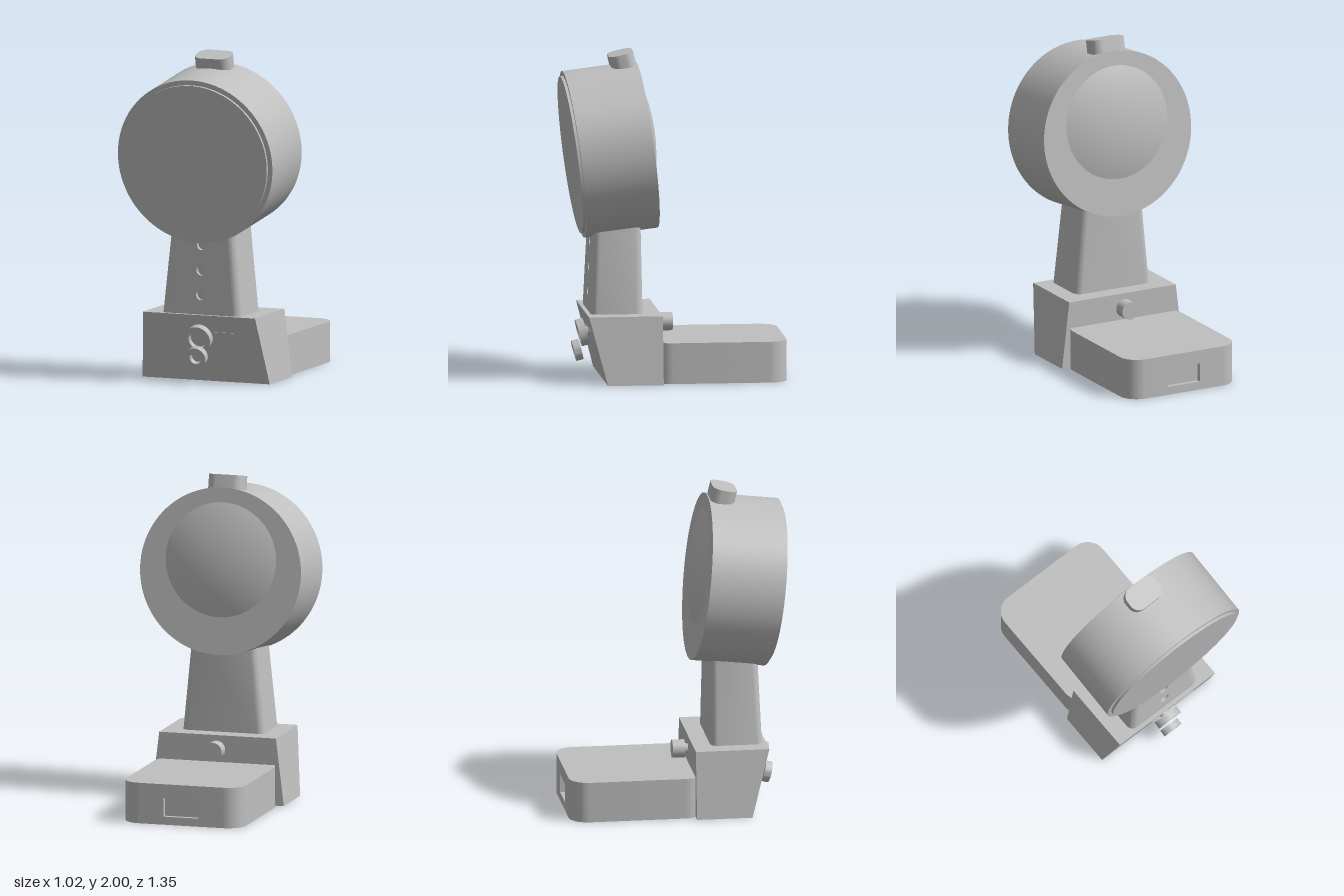
import * as THREE from 'three';
import { toCreasedNormals } from 'three/addons/utils/BufferGeometryUtils.js';

export function createModel() {
  const grey = new THREE.MeshStandardMaterial({ color: 0xbfbfbf });
  grey.name = 'grey';
  const model = new THREE.Group();
  model.name = 'roundHeadOnStand';

  const add = (name, geometry, parent = model, x = 0, y = 0, z = 0) => {
    const mesh = new THREE.Mesh(geometry, grey);
    mesh.name = name;
    mesh.position.set(x, y, z);
    parent.add(mesh);
    return mesh;
  };
  const tilted = (name, y, z, angle) => {
    const group = new THREE.Group();
    group.name = name;
    group.position.set(0, y, z);
    group.rotation.x = angle;
    model.add(group);
    return group;
  };
  // Cylinder along z
  const rod = (r, length, sides = 40) => new THREE.CylinderGeometry(r, r, length, sides).rotateX(Math.PI / 2);

  // Rounded rectangle, optionally notched in its far (+y) edge
  const roundedShape = (hw, y0, y1, r, notchHalf = 0, notchDepth = 0) => {
    const s = new THREE.Shape();
    s.moveTo(-hw + r, y0);
    s.lineTo(hw - r, y0);
    s.absarc(hw - r, y0 + r, r, -Math.PI / 2, 0);
    s.lineTo(hw, y1 - r);
    s.absarc(hw - r, y1 - r, r, 0, Math.PI / 2);
    if (notchHalf) {
      s.lineTo(notchHalf, y1);
      s.lineTo(notchHalf, y1 - notchDepth);
      s.lineTo(-notchHalf, y1 - notchDepth);
      s.lineTo(-notchHalf, y1);
    }
    s.lineTo(-hw + r, y1);
    s.absarc(-hw + r, y1 - r, r, Math.PI / 2, Math.PI);
    s.lineTo(-hw, y0 + r);
    s.absarc(-hw + r, y0 + r, r, Math.PI, Math.PI * 1.5);
    return s;
  };
  const extrudeUp = (shape, height) => toCreasedNormals(
    new THREE.ExtrudeGeometry(shape, { depth: height, bevelEnabled: false, curveSegments: 12 })
      .rotateX(-Math.PI / 2), 0.5);

  // Base block: sides taper inward, front leans forward
  const base = new THREE.BoxGeometry(1, 1, 1);
  const p = base.attributes.position;
  for (let i = 0; i < p.count; i++) {
    const top = p.getY(i) > 0;
    const hw = top ? 0.37 : 0.42;
    const front = top ? 0.54 : 0.43;
    p.setXYZ(i, Math.sign(p.getX(i)) * hw, top ? 0.415 : 0, p.getZ(i) > 0 ? front : 0.09);
  }
  base.computeVertexNormals();
  add('base', base);

  // Rear tray in three layers, the middle one notched to form the socket
  const tray = new THREE.Group();
  tray.name = 'tray';
  model.add(tray);
  [['trayBottom', 0, 0.05, 0], ['traySocketLayer', 0.05, 0.165, 0.11], ['trayTop', 0.165, 0.25, 0]]
    .forEach(([name, y0, y1, notch]) =>
      add(name, extrudeUp(roundedShape(0.38, -0.14, 0.675, 0.115, notch, 0.03), y1 - y0), tray, 0, y0, 0));

  // Neck: tapered shell with rounded corners, open at the front
  const halfWidth = y => 0.26 - 0.094 * (y - 0.42);
  const frontZ = y => 0.515 - 0.04 * (y - 0.42);
  const backZ = y => 0.198 + 0.012 * (y - 0.42);
  const y0 = 0.4, y1 = 1.0, r = 0.045, steps = 8;
  const section = y => {
    const pts = [];
    const w = halfWidth(y) - r, f = frontZ(y) - r, b = backZ(y) + r;
    [[w, f], [w, b], [-w, b], [-w, f]].forEach(([cx, cz], k) => {
      for (let i = 0; i <= steps; i++) {
        const a = Math.PI / 2 * (1 - k - i / steps);
        pts.push([cx + r * Math.cos(a), y, cz + r * Math.sin(a)]);
      }
    });
    return pts;
  };
  const rings = [section(y0), section(y1)];
  const n = rings[0].length;
  const index = [];
  for (let i = 0; i < n - 1; i++) index.push(i, i + 1, n + i, i + 1, n + i + 1, n + i);
  const shell = new THREE.BufferGeometry();
  shell.setAttribute('position', new THREE.Float32BufferAttribute(rings.flat(2), 3));
  shell.setIndex(index);
  add('neck', toCreasedNormals(shell, 0.5));

  // Neck front plate with three round holes and their floors
  const plate = new THREE.Shape();
  const w0 = halfWidth(y0) - r, w1 = halfWidth(y1) - r;
  plate.moveTo(-w0, y0);
  plate.lineTo(w0, y0);
  plate.lineTo(w1, y1);
  plate.lineTo(-w1, y1);
  plate.closePath();
  [0.535, 0.685, 0.84].forEach(y => {
    plate.holes.push(new THREE.Path().absarc(0, y, 0.032, 0, Math.PI * 2, true));
    add('neckHoleFloor', new THREE.CircleGeometry(0.036, 24), model, 0, y, frontZ(y) - 0.025);
  });
  const plateGeo = new THREE.ExtrudeGeometry(plate, { depth: 0.03, bevelEnabled: false, curveSegments: 24 });
  const q = plateGeo.attributes.position;
  for (let i = 0; i < q.count; i++) q.setZ(i, q.getZ(i) - 0.03 + frontZ(q.getY(i)));
  add('neckFront', toCreasedNormals(plateGeo, 0.5));

  // Tilted drum head with a front disc and a domed back
  const head = tilted('head', 1.39, 0.375, THREE.MathUtils.degToRad(6.9));
  add('drum', rod(0.51, 0.45, 96), head);
  add('frontDisc', rod(0.48, 0.03, 96), head, 0, 0, 0.227);
  const domeR = 0.35, domeH = 0.056;
  const R = (domeR * domeR + domeH * domeH) / (2 * domeH);
  add('backDome', new THREE.SphereGeometry(R, 64, 12, 0, Math.PI * 2, 0, Math.asin(domeR / R))
    .rotateX(-Math.PI / 2), head, 0, 0.07, -0.225 - domeH + R);

  // Pill-shaped button on top
  const button = tilted('topButton', 1.982, 0.312, THREE.MathUtils.degToRad(13));
  add('buttonCap', extrudeUp(roundedShape(0.114, -0.076, 0.076, 0.06), 0.13), button, 0, -0.13, 0);

  // Rear adjusting knob
  add('rearKnobStem', rod(0.03, 0.05), model, 0, 0.33, 0.08);
  add('rearKnob', rod(0.055, 0.076), model, 0, 0.33, 0.032);

  // Front dials: thick discs with a recessed centre, parallel to the sloping front
  const slope = Math.atan2(0.11, 0.415);
  const dish = (radius, inner, t, depth) => toCreasedNormals(new THREE.LatheGeometry(
    [[0, -t / 2], [radius, -t / 2], [radius, t / 2], [inner, t / 2], [inner - 0.006, t / 2 - depth], [0, t / 2 - depth]]
      .map(([x, y]) => new THREE.Vector2(x, y)), 48).rotateX(Math.PI / 2), 0.5);
  const upper = tilted('upperDial', 0.272, 0.543, slope);
  add('upperDialRing', dish(0.083, 0.058, 0.046, 0.025), upper);
  add('upperDialStem', rod(0.03, 0.05), upper, 0, 0, -0.035);
  const lower = tilted('lowerDial', 0.163, 0.573, slope);
  add('lowerDialRing', dish(0.064, 0.038, 0.043, 0.025), lower);

  // Fine slot line on the base front
  const slot = tilted('slot', 0.31, 0.43 + 0.11 * 0.31 / 0.415, slope);
  add('slotLine', new THREE.BoxGeometry(0.32, 0.006, 0.006), slot, 0.06, 0, 0);

  return model;
}
